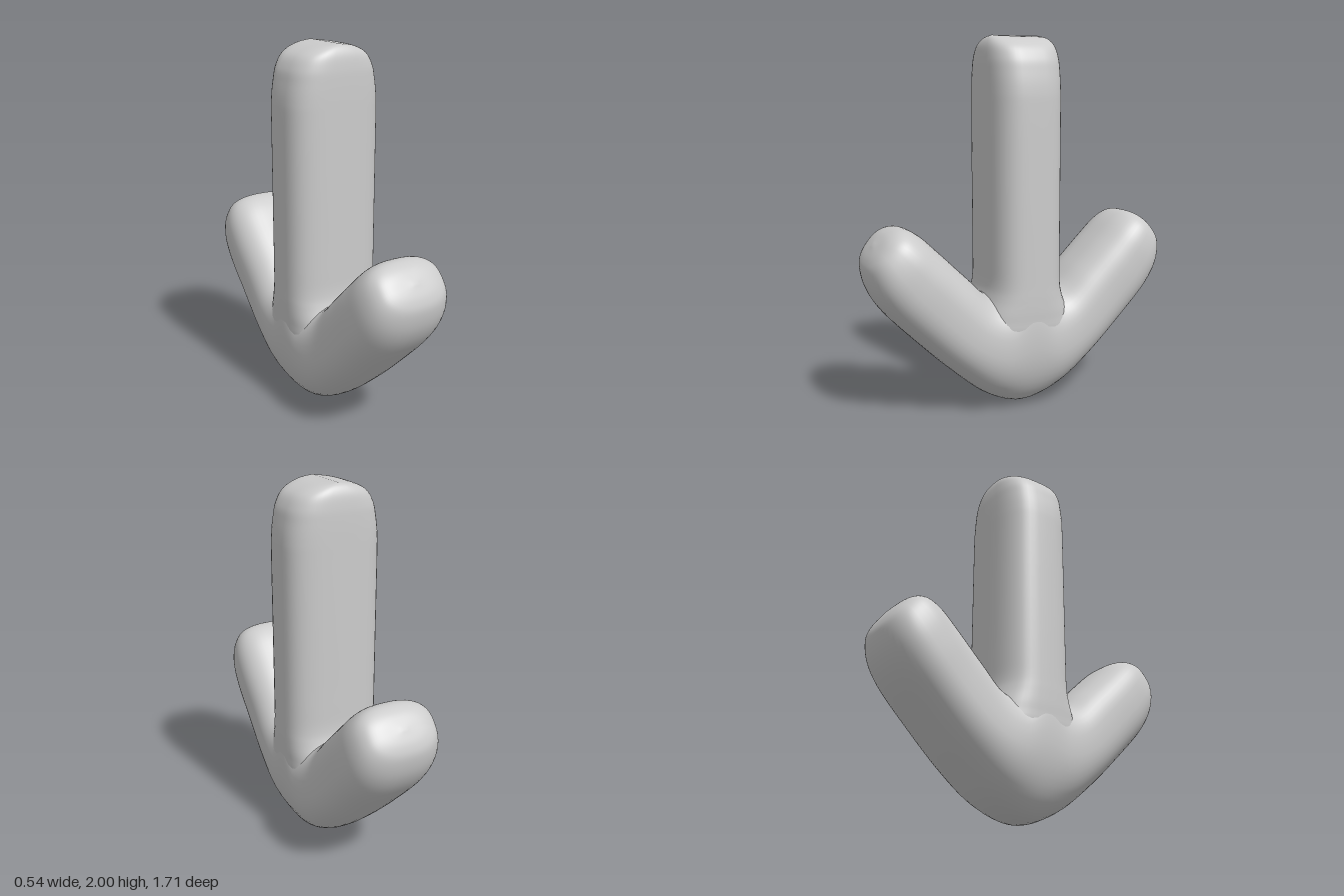
import * as THREE from 'three';
import { mergeVertices } from 'three/addons/utils/BufferGeometryUtils.js';

// Smooth skin through rows of [zA, yA, zB, yB, halfWidth, squareness]:
// each row is a superellipse spanning A to B in the side plane and +-halfWidth in x.
function loft(rows, steps, sides = 48) {
  const curve = (f) => new THREE.CatmullRomCurve3(
    rows.map((r) => new THREE.Vector3(...f(r))), false, 'catmullrom', 0.5);
  const curveA = curve((r) => [0, r[1], r[0]]);
  const curveB = curve((r) => [0, r[3], r[2]]);
  const curveW = curve((r) => [r[4], r[5], 0]);
  const bend = (v, p) => Math.sign(v) * Math.pow(Math.abs(v), 2 / p);
  const pos = [], index = [];
  for (let i = 0; i <= steps; i++) {
    const t = i / steps;
    const a = curveA.getPoint(t), b = curveB.getPoint(t), w = curveW.getPoint(t);
    const mid = a.clone().add(b).multiplyScalar(0.5);
    const half = b.clone().sub(a).multiplyScalar(0.5);
    for (let j = 0; j < sides; j++) {
      const q = (j / sides) * Math.PI * 2;
      const c = bend(Math.cos(q), w.y), s = bend(Math.sin(q), w.y);
      pos.push(Math.max(w.x, 0) * s, mid.y + half.y * c, mid.z + half.z * c);
      if (i === steps) continue;
      const k = (j + 1) % sides, n = i * sides, m = n + sides;
      index.push(n + j, n + k, m + k, n + j, m + k, m + j);
    }
  }
  let geo = new THREE.BufferGeometry();
  geo.setAttribute('position', new THREE.Float32BufferAttribute(pos, 3));
  geo.setIndex(index);
  geo = mergeVertices(geo);
  geo.computeVertexNormals();
  return geo;
}

export function createModel() {
  const group = new THREE.Group();
  group.name = 'arrow';
  const material = new THREE.MeshStandardMaterial({ color: 0xcccccc });
  const add = (name, geo) => {
    const mesh = new THREE.Mesh(geo, material);
    mesh.name = name;
    group.add(mesh);
  };

  // Upright shaft: [y, half depth, half width], flared at the foot to blend into the arms
  const shaft = [
    [0.28, 0, 0], [0.32, 0.16, 0.18], [0.42, 0.27, 0.255], [0.52, 0.255, 0.267],
    [0.62, 0.218, 0.27], [0.7, 0.202, 0.27], [0.85, 0.2, 0.27], [1.2, 0.2, 0.27],
    [1.6, 0.2, 0.27], [1.72, 0.2, 0.267], [1.81, 0.199, 0.255], [1.88, 0.196, 0.238],
    [1.945, 0.186, 0.195], [1.985, 0.165, 0.11], [2, 0.135, 0],
  ];
  add('shaft', loft(shaft.map(([y, d, w]) => [-d, y, d, y, w, 3]), 84));

  // Swept-up arms: underside point, upper point, half width, squareness
  const middle = [0, 0, 0, 0.85, 0.27, 2.2];
  const arm = [
    [0.2, 0.07, 0.09, 0.67, 0.265, 2.3],
    [0.4, 0.23, 0.2, 0.635, 0.255, 2.5],
    [0.6, 0.42, 0.33, 0.75, 0.25, 2.6],
    [0.75, 0.575, 0.47, 0.885, 0.25, 2.6],
    [0.825, 0.69, 0.58, 0.985, 0.24, 2.6],
    [0.855, 0.8, 0.665, 1.025, 0.205, 2.6],
    [0.845, 0.87, 0.74, 1.005, 0.14, 2.5],
    [0.805, 0.945, 0.805, 0.945, 0, 2.4],
  ];
  const mirrored = arm.map(([za, ya, zb, yb, w, p]) => [-za, ya, -zb, yb, w, p]);
  add('arms', loft([...arm.slice().reverse(), middle, ...mirrored], 96));

  return group;
}
